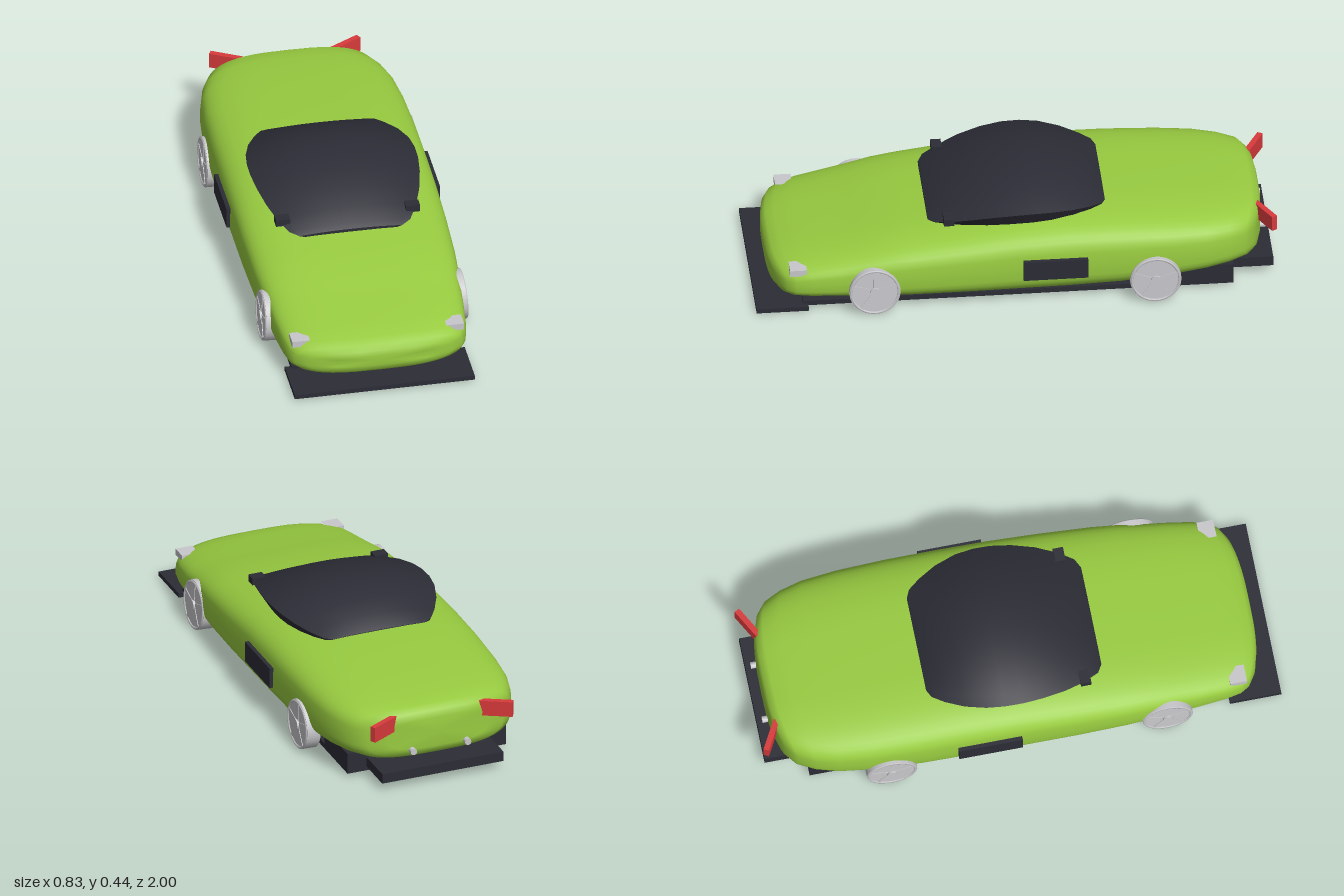
import * as THREE from 'three';
import { toCreasedNormals } from 'three/addons/utils/BufferGeometryUtils.js';

const paint = (name, color) => {
  const m = new THREE.MeshStandardMaterial({ color });
  m.name = name;
  return m;
};

// Closed skin over a list of equal rings, ordered front to back
function loft(rings) {
  const n = rings[0].length, pos = [], idx = [];
  rings.forEach(r => r.forEach(p => pos.push(...p)));
  for (let i = 0; i < rings.length - 1; i++) {
    for (let j = 0; j < n; j++) {
      const k = (j + 1) % n, a = i * n + j, b = i * n + k;
      idx.push(a, a + n, b, b, a + n, b + n);
    }
  }
  [0, rings.length - 1].forEach(i => {
    const c = pos.length / 3, r = rings[i];
    pos.push(0, r.reduce((s, p) => s + p[1], 0) / n, i ? Math.min(...r.map(p => p[2])) : Math.max(...r.map(p => p[2])));
    for (let j = 0; j < n; j++) {
      const a = i * n + j, b = i * n + (j + 1) % n;
      if (i) idx.push(c, b, a); else idx.push(c, a, b);
    }
  });
  const g = new THREE.BufferGeometry();
  g.setAttribute('position', new THREE.Float32BufferAttribute(pos, 3));
  g.setIndex(idx);
  g.computeVertexNormals();
  return g;
}

// Rounded box section whose ends curve back at the sides
function bodyRing([z, top, bottom, w]) {
  const ring = [], n = 48, e = 2 / 3.5;
  for (let j = 0; j < n; j++) {
    const t = (j / n) * Math.PI * 2, c = Math.cos(t), s = Math.sin(t);
    const v = Math.sign(s) * Math.abs(s) ** e;
    const x = w * Math.sign(c) * Math.abs(c) ** e * (1 - 0.015 * v);
    const y = (top + bottom) / 2 + v * (top - bottom) / 2;
    ring.push([x, y, z * (1 - 0.11 * Math.abs(x / 0.38) ** 3 * z ** 4)]);
  }
  return ring;
}

// Domed section with overhanging side edges
function canopyRing([z, w, edge, crown]) {
  const ring = [], n = 16;
  for (let j = 0; j <= n; j++) {
    const u = 1 - (2 * j) / n;
    ring.push([w * u, edge + (crown - edge) * (1 - Math.abs(u) ** 2.2), z]);
  }
  ring.push([-w * 0.84, 0.285, z], [w * 0.84, 0.285, z]);
  return ring;
}

export function createModel() {
  const model = new THREE.Group();
  const green = paint('greenPaint', 0x98cb40);
  const dark = paint('darkTrim', 0x2c2c36);
  const silver = paint('silver', 0xc8c8cc);
  const red = paint('redLens', 0xd83a3c);

  const add = (name, geo, mat, x = 0, y = 0, z = 0, parent = model) => {
    const m = new THREE.Mesh(geo, mat);
    m.name = name;
    m.position.set(x, y, z);
    parent.add(m);
    return m;
  };
  const box = (name, mat, x0, x1, y0, y1, z0, z1) =>
    add(name, new THREE.BoxGeometry(x1 - x0, y1 - y0, z1 - z0), mat, (x0 + x1) / 2, (y0 + y1) / 2, (z0 + z1) / 2);

  // Body stations: z, top, bottom, half width
  const body = [
    [0.945, 0.125, 0.085, 0.2], [0.942, 0.148, 0.065, 0.28], [0.925, 0.166, 0.049, 0.325],
    [0.89, 0.181, 0.04, 0.345], [0.82, 0.2, 0.036, 0.358], [0.7, 0.222, 0.033, 0.37],
    [0.6, 0.244, 0.03, 0.377], [0.5, 0.267, 0.027, 0.387], [0.4, 0.282, 0.025, 0.394],
    [0.2, 0.308, 0.024, 0.4], [0, 0.332, 0.024, 0.402], [-0.2, 0.342, 0.025, 0.402],
    [-0.4, 0.34, 0.032, 0.401], [-0.6, 0.331, 0.05, 0.394], [-0.75, 0.322, 0.068, 0.38],
    [-0.85, 0.313, 0.08, 0.357], [-0.92, 0.303, 0.092, 0.325], [-0.947, 0.285, 0.108, 0.28],
    [-0.955, 0.255, 0.135, 0.2],
  ];
  add('body', loft(body.map(bodyRing)), green);

  // Canopy stations: z, half width, edge height, crown height
  const canopy = [
    [0.33, 0.2, 0.295, 0.303], [0.31, 0.235, 0.305, 0.318], [0.25, 0.268, 0.322, 0.352],
    [0.17, 0.297, 0.345, 0.388], [0.08, 0.317, 0.364, 0.418], [0, 0.326, 0.374, 0.433],
    [-0.07, 0.326, 0.377, 0.439], [-0.14, 0.317, 0.374, 0.434], [-0.22, 0.292, 0.364, 0.415],
    [-0.29, 0.255, 0.352, 0.384], [-0.335, 0.222, 0.344, 0.355], [-0.35, 0.19, 0.338, 0.343],
  ];
  add('canopy', toCreasedNormals(loft(canopy.map(canopyRing)), 0.7), dark);

  // Floor, splitter and diffuser
  box('frontSplitter', dark, -0.35, 0.35, 0.006, 0.024, 0.8, 1);
  box('floor', dark, -0.327, 0.327, 0.016, 0.036, -0.83, 0.82);
  box('rearFloor', dark, -0.327, 0.327, 0.017, 0.1, -0.83, -0.6);
  box('diffuser', dark, -0.25, 0.25, 0.034, 0.074, -0.99, -0.8);

  // Wheel with rim, spokes and hub, axis along x
  const tyre = new THREE.CylinderGeometry(0.098, 0.098, 0.055, 32).rotateZ(Math.PI / 2);
  const rim = new THREE.TorusGeometry(0.091, 0.006, 6, 32).rotateY(Math.PI / 2);
  const hub = new THREE.CylinderGeometry(0.02, 0.02, 0.014, 16).rotateZ(Math.PI / 2);
  const spoke = new THREE.BoxGeometry(0.008, 0.085, 0.014).translate(0, 0.045, 0);
  const makeWheel = (name, side, x, z, camber) => {
    const wheel = new THREE.Group();
    wheel.name = name;
    add('wheelDrum', tyre, silver, 0, 0, 0, wheel);
    add('wheelRim', rim, silver, side * 0.026, 0, 0, wheel);
    add('wheelHub', hub, silver, side * 0.03, 0, 0, wheel);
    for (let i = 0; i < 5; i++) {
      add('wheelSpoke', spoke, silver, side * 0.026, 0, 0, wheel).rotation.x = (i * Math.PI * 2) / 5;
    }
    wheel.position.set(side * x, 0.101, z);
    wheel.rotation.z = side * camber;
    model.add(wheel);
  };

  // Headlight outline, pointed towards the centre line
  const lamp = new THREE.Shape();
  lamp.moveTo(0.334, 0.154);
  lamp.lineTo(0.334, 0.18);
  lamp.lineTo(0.265, 0.18);
  lamp.quadraticCurveTo(0.285, 0.174, 0.3, 0.154);

  for (const [side, label] of [[1, 'left'], [-1, 'right']]) {
    makeWheel(label + 'FrontWheel', side, 0.364, 0.55, 0.05);
    makeWheel(label + 'RearWheel', side, 0.38, -0.525, 0.02);

    const span = (name, mat, a, b, ...rest) => box(label + name, mat, Math.min(side * a, side * b), Math.max(side * a, side * b), ...rest);
    span('SideIntake', dark, 0.38, 0.415, 0.133, 0.216, -0.265, -0.018);
    span('Mirror', dark, 0.225, 0.28, 0.312, 0.34, 0.235, 0.275);

    const lampGeo = new THREE.ExtrudeGeometry(lamp, { depth: 0.065, bevelEnabled: false, curveSegments: 6 });
    if (side < 0) {
      // Mirror the outline and keep the faces outward
      const p = lampGeo.attributes.position;
      for (let i = 0; i < p.count; i++) p.setX(i, -p.getX(i));
      for (let i = 0; i < p.count; i += 3) {
        const a = [p.getX(i), p.getY(i), p.getZ(i)];
        p.setXYZ(i, p.getX(i + 1), p.getY(i + 1), p.getZ(i + 1));
        p.setXYZ(i + 1, ...a);
      }
      lampGeo.computeVertexNormals();
    }
    add(label + 'Headlight', lampGeo, silver, 0, 0, 0.805);

    // Angled tail lights and small exhaust tips
    const tail = add(label + 'TailLight', new THREE.BoxGeometry(0.13, 0.062, 0.022), red, side * 0.232, 0.252, -0.96);
    tail.rotation.y = side * 0.5;
    add(label + 'Exhaust', new THREE.CylinderGeometry(0.013, 0.013, 0.04, 12).rotateX(Math.PI / 2), silver, side * 0.112, 0.134, -0.953);
  }
  return model;
}
